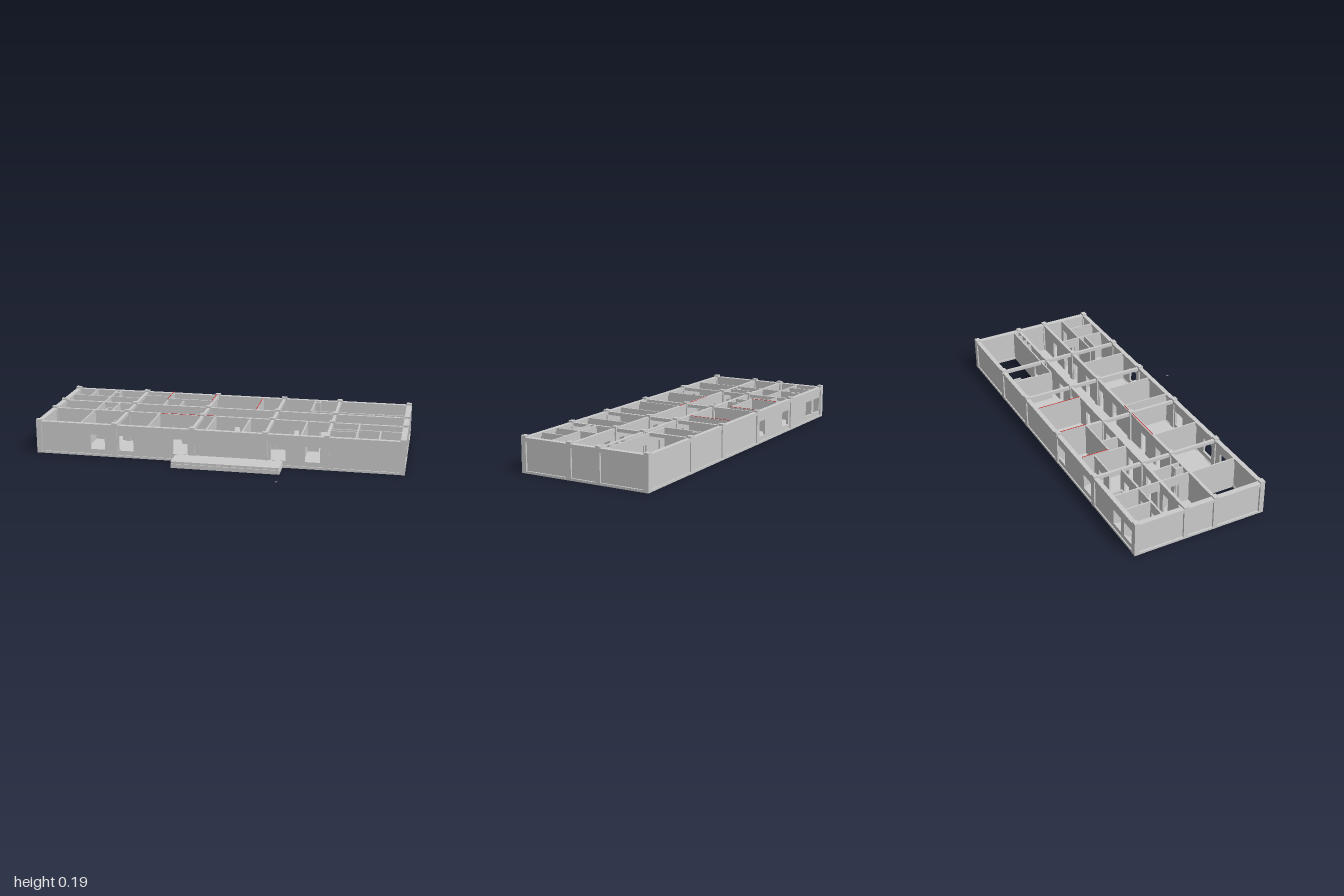
import * as THREE from 'three';

const grey = new THREE.MeshStandardMaterial({ color: 0xcccccc, flatShading: true });
const red = new THREE.MeshStandardMaterial({ color: 0xc02020, flatShading: true });

// Grid of the structural frame
const COLS = [-0.985, -0.56, -0.13, 0.265, 0.59, 0.985];
const ROWS = [-0.472, -0.203, -0.036, 0.232];
const WALL_TOP = 0.18, COL_TOP = 0.19, FLOOR = 0.01;

export function createModel() {
  const model = new THREE.Group();
  model.name = 'buildingStorey';

  const add = (geo, name, mat = grey) => {
    const mesh = new THREE.Mesh(geo, mat);
    mesh.name = name;
    model.add(mesh);
    return mesh;
  };
  // Box from its minimum and maximum corners
  const box = (name, x0, x1, y0, y1, z0, z1, mat) =>
    add(new THREE.BoxGeometry(x1 - x0, y1 - y0, z1 - z0), name, mat)
      .position.set((x0 + x1) / 2, (y0 + y1) / 2, (z0 + z1) / 2);

  const rect = (target, x0, x1, y0, y1) => {
    target.moveTo(x0, y0);
    target.lineTo(x1, y0);
    target.lineTo(x1, y1);
    target.lineTo(x0, y1);
    target.closePath();
    return target;
  };
  // Upright wall centred on a line; holes are [from, to, bottom, top]
  const wall = (name, axis, at, from, to, { t = 0.01, y0 = 0, y1 = WALL_TOP, holes = [] } = {}) => {
    const shape = rect(new THREE.Shape(), from, to, y0, y1);
    for (const h of holes) shape.holes.push(rect(new THREE.Path(), ...h));
    const geo = new THREE.ExtrudeGeometry(shape, { depth: t, bevelEnabled: false });
    geo.translate(0, 0, -t / 2);
    if (axis === 'z') geo.rotateY(-Math.PI / 2);
    const mesh = add(geo, name);
    mesh.position[axis === 'z' ? 'x' : 'z'] = at;
  };

  // Floor slab with two open corners
  const outline = new THREE.Shape();
  [[-0.75, 0.235], [0.985, 0.235], [0.985, -0.24], [0.72, -0.24], [0.72, -0.475],
    [-0.985, -0.475], [-0.985, -0.03], [-0.75, -0.03]]
    .forEach(([x, z], i) => (i ? outline.lineTo(x, -z) : outline.moveTo(x, -z)));
  const slab = new THREE.ExtrudeGeometry(outline, { depth: FLOOR, bevelEnabled: false });
  slab.rotateX(-Math.PI / 2);
  add(slab, 'floorSlab');

  // Columns, held flush with the outer faces
  for (const x of COLS) for (const z of ROWS) {
    const cx = THREE.MathUtils.clamp(x, -0.985, 0.985);
    box('column', cx - 0.015, cx + 0.015, 0, COL_TOP, z - 0.013, z + 0.013);
  }

  // Beams: thick at the perimeter, thinner inside
  for (const z of ROWS) {
    const outer = Math.abs(z) > 0.21;
    const h = outer ? 0.012 : 0.008;
    box('longBeam', -0.985, 0.985, 0.162, WALL_TOP, z - h, z + h);
  }
  COLS.forEach((x, i) => {
    const h = i === 0 || i === 5 ? 0.0145 : 0.008;
    box('crossBeam', x - h, x + h, 0.162, WALL_TOP, -0.472, 0.232);
  });

  // Sill strips under the outer walls
  for (const z of [ROWS[0], ROWS[3]]) box('sill', -0.985, 0.985, 0, 0.012, z - 0.012, z + 0.012);
  for (const x of [COLS[0], COLS[5]]) box('sill', x - 0.0145, x + 0.0145, 0, 0.012, -0.472, 0.232);

  // Recessed outer panels with windows
  const windows = starts => starts.map(x => [x, x + 0.08, 0.037, 0.12]);
  wall('frontWall', 'x', 0.232, -0.98, 0.98, { t: 0.012, holes: windows([-0.695, -0.535, -0.235, 0.295, 0.477]) });
  wall('backWall', 'x', -0.472, -0.98, 0.98, { t: 0.012, holes: windows([-0.96, -0.85, -0.525, -0.225]) });
  for (const x of [-0.983, 0.983]) wall('endWall', 'z', x, -0.47, 0.23, { t: 0.014 });

  // Corridor walls with a doorway to each room
  const doors = starts => starts.map(x => [x, x + 0.05, FLOOR, 0.125]);
  wall('corridorWall', 'x', -0.203, -0.98, 0.98,
    { holes: doors([-0.83, -0.66, -0.47, -0.36, -0.22, 0.02, 0.2, 0.36, 0.51]) });
  wall('corridorWall', 'x', -0.036, -0.98, 0.98,
    { holes: doors([-0.64, -0.46, -0.3, 0.03, 0.19, 0.36, 0.52, 0.65, 0.8]) });

  // Partitions across the building: [x, z from, z to, doorway start]
  const across = [
    [-0.865, -0.47, -0.325], [-0.745, -0.47, -0.203, -0.27], [-0.718, -0.47, -0.405],
    [-0.395, -0.47, -0.203], [-0.3, -0.31, -0.203], [-0.135, -0.47, -0.203],
    [0.14, -0.47, -0.203], [0.45, -0.47, -0.24], [0.477, -0.47, -0.42],
    [-0.745, -0.203, -0.036, -0.15], [-0.652, -0.195, -0.04], [-0.69, -0.085, -0.04],
    [-0.75, -0.036, 0.23], [-0.375, -0.036, 0.23], [-0.055, -0.036, 0.23],
    [0.14, -0.036, 0.23], [0.455, -0.036, 0.23], [0.74, -0.036, 0.23, 0.0], [0.86, 0.078, 0.23],
  ];
  for (const [x, z0, z1, door] of across)
    wall('crossPartition', 'z', x, z0, z1, { t: 0.008, holes: door === undefined ? [] : doors([door]) });

  // Partitions along the building: [z, x from, x to, doorway starts]
  const along = [
    [-0.325, -0.98, -0.56, [-0.93, -0.82, -0.65]], [-0.405, -0.745, -0.714, []],
    [-0.39, -0.56, -0.395, [-0.5]], [-0.31, -0.395, -0.135, []],
    [-0.24, 0.45, 0.98, [0.5, 0.63]], [-0.42, 0.45, 0.481, []],
    [-0.085, -0.69, -0.652, []], [-0.222, -0.98, -0.953, []],
    [0.08, 0.59, 0.74, []], [0.115, 0.59, 0.74, []], [0.077, 0.74, 0.98, [0.78, 0.9]],
  ];
  for (const [z, x0, x1, d] of along)
    wall('longPartition', 'x', z, x0, x1, { t: 0.008, holes: doors(d) });

  // Raised capping round the back room, and red edging on some partitions
  box('capping', -0.395, -0.135, WALL_TOP, COL_TOP, -0.314, -0.306);
  for (const [x, z1] of [[-0.395, -0.31], [-0.135, -0.31], [0.14, -0.21]]) {
    if (x < 0) box('capping', x - 0.004, x + 0.004, WALL_TOP, COL_TOP, -0.46, z1);
    const top = x < 0 ? COL_TOP : WALL_TOP;
    box('redEdging', x - 0.002, x + 0.002, top - 0.002, top + 0.001, -0.46, z1, red);
  }
  box('redEdging', -0.37, -0.055, WALL_TOP, WALL_TOP + 0.001, -0.038, -0.034, red);

  // Washroom fittings
  for (const x of [0.795, 0.925]) box('basin', x - 0.035, x + 0.035, 0.05, 0.07, 0.2, 0.215);
  box('cabinet', 0.925, 0.975, FLOOR, 0.15, -0.03, -0.012);
  for (const x of [0.8, 0.855, 0.92]) box('closetDivider', x - 0.003, x + 0.003, FLOOR, WALL_TOP, -0.236, -0.207);

  // Entrance porch: base, recessed joint and top slab
  box('porchBase', -0.22, 0.36, 0, 0.022, 0.235, 0.36);
  box('porchJoint', -0.215, 0.355, 0.022, 0.03, 0.235, 0.355);
  box('porchTop', -0.22, 0.36, 0.03, 0.036, 0.235, 0.36);

  // Small loose marker in front of the porch
  const marker = add(new THREE.BoxGeometry(0.012, 0.003, 0.003), 'groundMarker');
  marker.position.set(0.362, 0.002, 0.475);
  marker.rotation.y = 0.7;

  return model;
}
